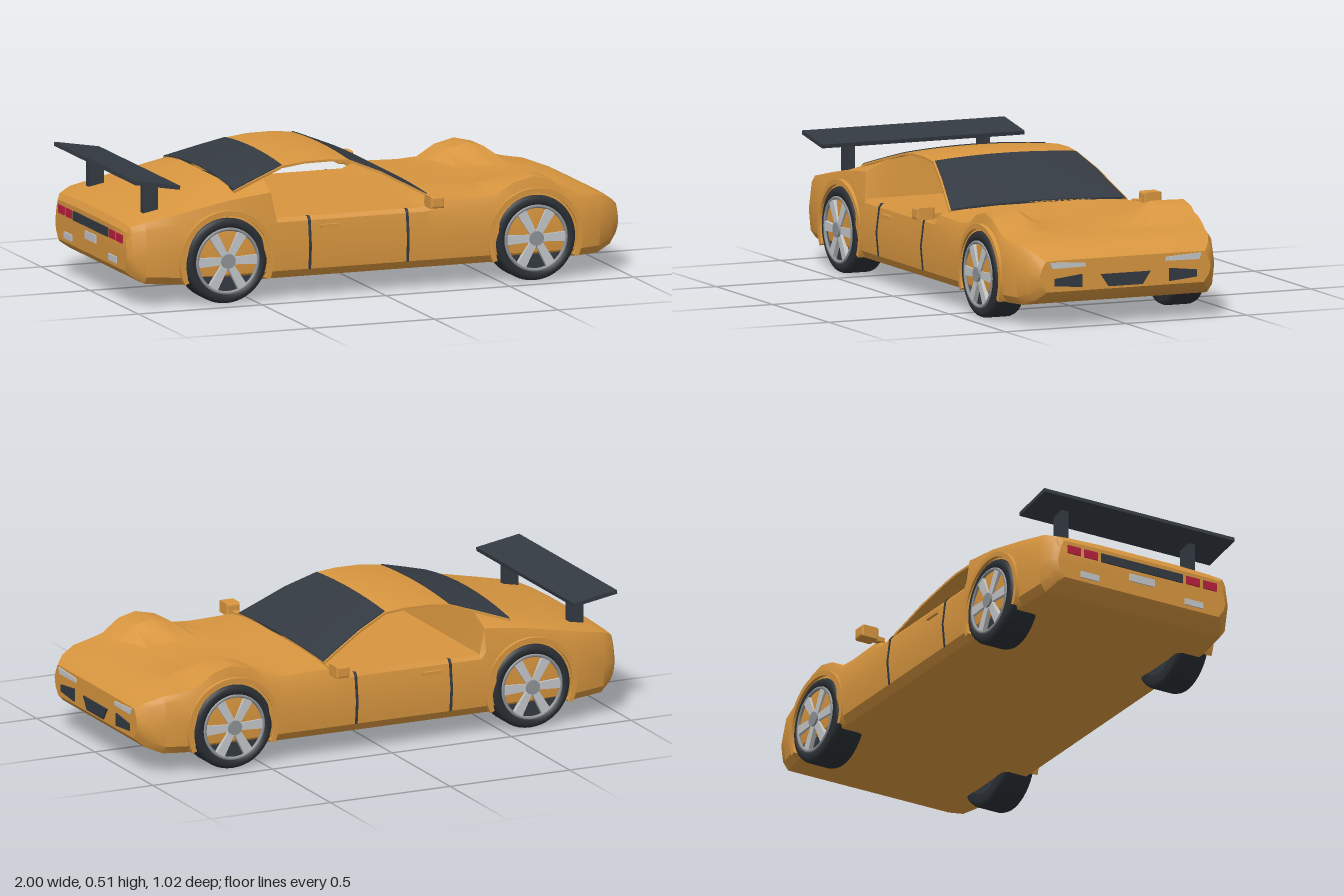
import * as THREE from 'three';
import { toCreasedNormals } from 'three/addons/utils/BufferGeometryUtils.js';

const mat = (name, color) => {
  const m = new THREE.MeshStandardMaterial({ color });
  m.name = name;
  return m;
};

// Closed loft along x; each section is { x, half: [[z, y], ...] } from bottom centre to top centre
function loft(sections, crease = 0.5) {
  const pos = [], idx = [];
  const rings = sections.map(({ x, half }) => {
    const mirrored = half.slice(1, -1).reverse().map(([z, y]) => [-z, y]);
    return [...half, ...mirrored].map(([z, y]) => [x, y, z]);
  });
  const n = rings[0].length;
  rings.forEach(r => r.forEach(p => pos.push(...p)));
  for (let i = 0; i < rings.length - 1; i++) {
    for (let j = 0; j < n; j++) {
      const a = i * n + j, b = i * n + (j + 1) % n, c = a + n, d = b + n;
      idx.push(a, c, b, b, c, d);
    }
  }
  [0, rings.length - 1].forEach((i, end) => {
    const ring = rings[i], centre = pos.length / 3;
    pos.push(ring[0][0], ring.reduce((s, p) => s + p[1], 0) / n, 0);
    for (let j = 0; j < n; j++) {
      const a = i * n + j, b = i * n + (j + 1) % n;
      idx.push(centre, ...(end ? [b, a] : [a, b]));
    }
  });
  const g = new THREE.BufferGeometry();
  g.setAttribute('position', new THREE.Float32BufferAttribute(pos, 3));
  g.setIndex(idx);
  return toCreasedNormals(g, crease);
}

// x, half width, side top, outer top, inner fender height, centre height
const BODY = [
  [-0.995, 0.37, 0.255, 0.285, 0.288, 0.29],
  [-0.98, 0.39, 0.28, 0.305, 0.31, 0.315],
  [-0.93, 0.415, 0.30, 0.325, 0.335, 0.34],
  [-0.80, 0.43, 0.31, 0.35, 0.36, 0.365],
  [-0.60, 0.437, 0.33, 0.39, 0.412, 0.425],
  [-0.43, 0.437, 0.32, 0.41, 0.455, 0.47],
  [-0.41, 0.437, 0.295, 0.31, 0.31, 0.31],
  [0.18, 0.437, 0.295, 0.31, 0.31, 0.31],
  [0.225, 0.437, 0.30, 0.335, 0.349, 0.355],
  [0.40, 0.437, 0.30, 0.33, 0.337, 0.34],
  [0.48, 0.437, 0.305, 0.335, 0.342, 0.336],
  [0.55, 0.437, 0.32, 0.378, 0.38, 0.334],
  [0.63, 0.437, 0.33, 0.397, 0.40, 0.332],
  [0.70, 0.437, 0.325, 0.38, 0.383, 0.328],
  [0.77, 0.434, 0.30, 0.33, 0.333, 0.323],
  [0.82, 0.43, 0.295, 0.317, 0.32, 0.32],
  [0.90, 0.412, 0.285, 0.305, 0.31, 0.312],
  [0.96, 0.385, 0.265, 0.282, 0.287, 0.288],
  [0.995, 0.355, 0.232, 0.254, 0.256, 0.256],
];
// The floor sweeps up at both ends; the inner fender edge moves in over the nose
function bodySection([x, w, side, outer, inner, centre]) {
  const floor = 0.08 + 0.057 * Math.max(0, (Math.abs(x) - 0.87) / 0.125) ** 2.5;
  return { x, half: [[0, floor], [w - 0.03, floor], [w - 0.008, floor + 0.03], [w, 0.2],
    [w - 0.012, side], [w - 0.025, outer], [x > 0.5 ? 0.28 : 0.31, inner], [0.17, centre], [0, centre]] };
}

// x, half width, centre height, drop towards the edge
const ROOF = [
  [-0.56, 0.37, 0.445, 0.028], [-0.43, 0.33, 0.479, 0.021], [-0.34, 0.30, 0.499, 0.014],
  [-0.25, 0.30, 0.508, 0.012], [-0.15, 0.30, 0.509, 0.012], [-0.07, 0.30, 0.501, 0.012],
  [0.05, 0.328, 0.452, 0.012], [0.15, 0.352, 0.398, 0.012], [0.22, 0.37, 0.360, 0.012],
];
// Thin curved panel following the roof rows
function panel(rows, thick, lift = 0, inset = 0) {
  return loft(rows.map(([x, w, yc, drop]) => {
    const top = [0, 0.25, 0.5, 0.75, 1].map(t => [t * (w - inset), yc + lift - drop * t * t]);
    return { x, half: [...top.map(([z, y]) => [z, y - thick]), ...top.reverse()] };
  }));
}

export function createModel() {
  const car = new THREE.Group();
  car.name = 'sportsCar';
  const paint = mat('orangePaint', 0xd8963f), dark = mat('darkGlassAndTrim', 0x343a42);
  const rubber = mat('tyreRubber', 0x2b3035), alloy = mat('lightAlloy', 0xc4c7ca);
  const rimGrey = mat('rimGrey', 0x8f9397), red = mat('tailRed', 0xb81f3c);

  const add = (name, geo, material, p = [0, 0, 0], parent = car) => {
    const m = new THREE.Mesh(geo, material);
    m.name = name;
    m.position.set(...p);
    parent.add(m);
    return m;
  };
  const box = (name, size, p, material) => add(name, new THREE.BoxGeometry(...size), material, p);

  // Body shell, roof and glass
  add('body', loft(BODY.map(bodySection)), paint);
  add('roof', panel(ROOF, 0.009), paint);
  add('rearWindow', panel(ROOF.slice(0, 3), 0.006, 0.004, 0.008), dark);
  add('windshield', panel(ROOF.slice(5), 0.006, 0.004, 0.008), dark);

  // Slice across the car: outline in [z, y], extruded along x
  const slice = (name, outline, depth, x, material) => {
    const s = new THREE.Shape(outline.map(([z, y]) => new THREE.Vector2(-z, y)));
    const g = new THREE.ExtrudeGeometry(s, { depth, bevelEnabled: false }).rotateY(Math.PI / 2);
    add(name, g, material, [x, 0, 0]);
  };
  const nosePlate = (name, outline, material) => slice(name, outline, 0.006, 0.994, material);
  const tailPlate = (name, outline, material) => slice(name, outline, 0.006, -1, material);
  const rect = (z, y, w, h) => [[z - w / 2, y - h / 2], [z + w / 2, y - h / 2],
    [z + w / 2, y + h / 2], [z - w / 2, y + h / 2]];

  nosePlate('centreIntake', [[-0.07, 0.146], [0.07, 0.146], [0.103, 0.194], [-0.103, 0.194]], dark);
  tailPlate('rearGrille', rect(0, 0.255, 0.36, 0.035), dark);
  tailPlate('rearPlate', rect(0, 0.205, 0.11, 0.03), alloy);

  for (const s of [1, -1]) {
    const side = pts => pts.map(([z, y]) => [z * s, y]);
    nosePlate('headlight', side([[0.165, 0.228], [0.305, 0.226], [0.315, 0.25], [0.17, 0.243]]), alloy);
    nosePlate('sideIntake', side([[0.18, 0.15], [0.295, 0.16], [0.295, 0.187], [0.18, 0.2]]), dark);
    tailPlate('tailLightInner', rect(0.225 * s, 0.255, 0.058, 0.032), red);
    tailPlate('tailLightOuter', rect(0.3 * s, 0.255, 0.058, 0.032), red);
    tailPlate('reverseLight', rect(0.23 * s, 0.165, 0.08, 0.025), alloy);

    // Door gaps hug the curve of the flank
    for (const x of [-0.28, 0.115])
      slice('doorGap', side([[0.41, 0.1], [0.431, 0.11], [0.4395, 0.2], [0.4275, 0.297],
        [0.418, 0.31], [0.40, 0.31]]), 0.01, x - 0.005, dark);
    box('doorHandle', [0.075, 0.014, 0.02], [-0.2, 0.27, 0.43 * s], paint);

    // Door mirror: stalk and bevelled housing
    box('mirrorStalk', [0.025, 0.018, 0.05], [0.205, 0.33, 0.425 * s], paint);
    const housing = new THREE.Shape(rect(0, 0, 0.04, 0.03).map(p => new THREE.Vector2(...p)));
    const mirror = new THREE.ExtrudeGeometry(housing,
      { depth: 0.058, bevelThickness: 0.008, bevelSize: 0.008, bevelSegments: 2 }).translate(0, 0, -0.029);
    add('mirror', mirror, paint, [0.207, 0.343, 0.472 * s]);

    box('wingSupport', [0.06, 0.13, 0.03], [-0.87, 0.405, 0.28 * s], dark);
  }

  // Rear wing
  box('rearWing', [0.183, 0.015, 0.84], [-0.89, 0.47, 0], dark).rotation.z = -0.165;

  // Wheels with six spokes and arch lips
  const tyreGeo = new THREE.LatheGeometry([[0.118, -0.065], [0.148, -0.065], [0.16, -0.058], [0.165, -0.045],
    [0.165, 0.045], [0.16, 0.058], [0.148, 0.064], [0.127, 0.065], [0.12, 0.04]]
    .map(p => new THREE.Vector2(...p)), 48).rotateX(Math.PI / 2);
  const disc = (r, h) => new THREE.CylinderGeometry(r, r, h, 32).rotateX(Math.PI / 2);
  const spokeShape = new THREE.Shape([[0.01, -0.013], [0.12, -0.019], [0.12, 0.019], [0.01, 0.013]]
    .map(p => new THREE.Vector2(...p)));
  const spokeGeo = new THREE.ExtrudeGeometry(spokeShape, { depth: 0.018, bevelEnabled: false });
  const lip = new THREE.Shape();
  lip.absarc(0, 0, 0.19, -0.45, Math.PI + 0.45, false);
  lip.absarc(0, 0, 0.171, Math.PI + 0.45, -0.45, true);
  const lipGeo = new THREE.ExtrudeGeometry(lip, { depth: 0.05, bevelEnabled: false, curveSegments: 32 });

  for (const x of [-0.615, 0.63]) for (const s of [1, -1]) {
    const wheel = new THREE.Group();
    wheel.name = x > 0 ? 'frontWheel' : 'rearWheel';
    wheel.position.set(x, 0.165, 0.375 * s);
    if (s < 0) wheel.rotation.y = Math.PI;
    car.add(wheel);
    add('tyre', tyreGeo, rubber, [0, 0, 0], wheel);
    add('wheelBack', disc(0.122, 0.11), dark, [0, 0, -0.007], wheel);
    add('rimRing', new THREE.TorusGeometry(0.122, 0.007, 8, 48), rimGrey, [0, 0, 0.063], wheel);
    for (let i = 0; i < 6; i++)
      add('spoke', spokeGeo, alloy, [0, 0, 0.05], wheel).rotation.z = i * Math.PI / 3;
    add('hub', disc(0.028, 0.028), rimGrey, [0, 0, 0.062], wheel);
    add('archLip', lipGeo, paint, [0, 0, 0.013], wheel);
  }
  return car;
}
